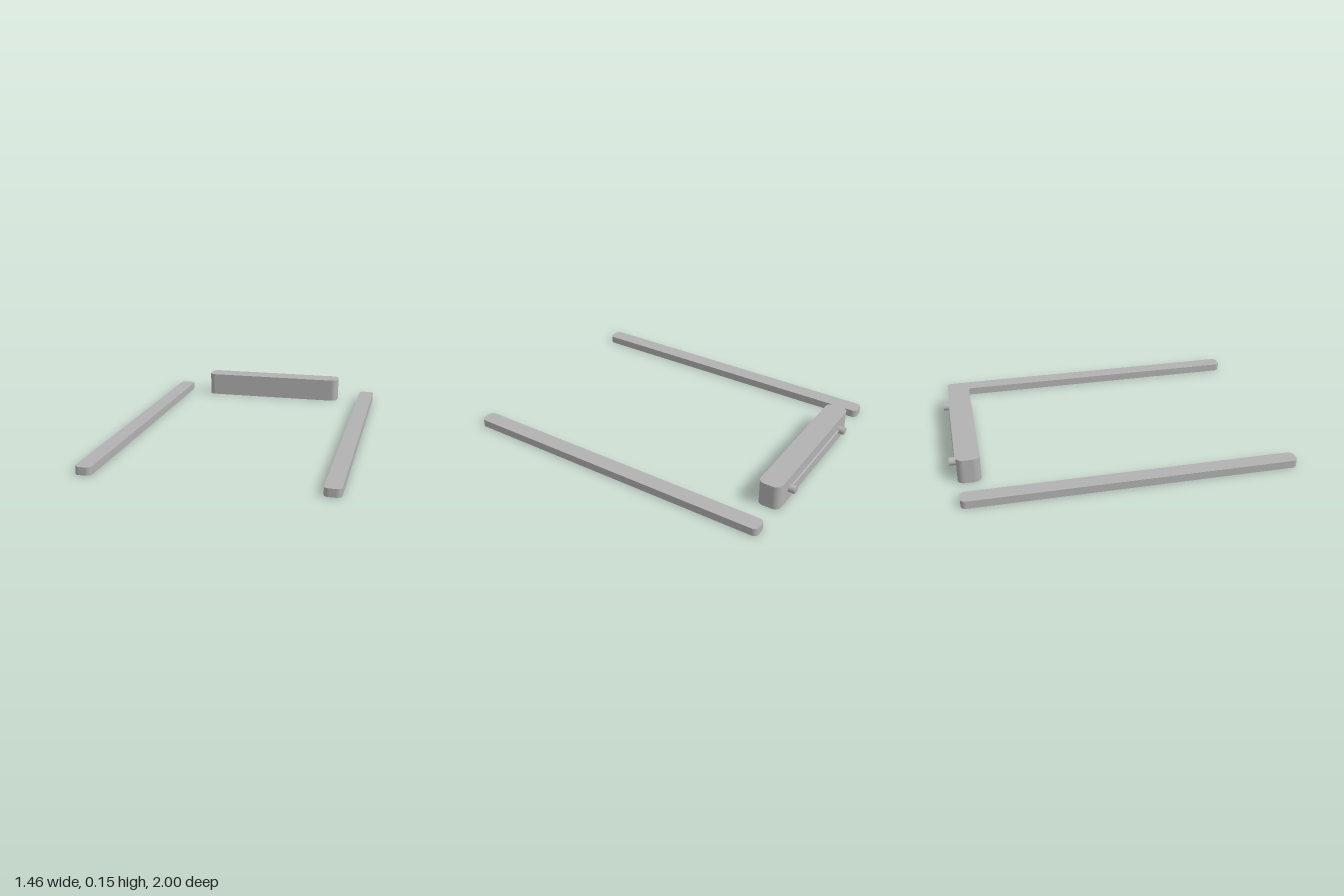
import * as THREE from 'three';

const grey = new THREE.MeshStandardMaterial({ color: 0xb2b2b2 });
grey.name = 'grey';

// Upright slab standing on y = 0 with rounded vertical corners
function roundedSlab(name, width, depth, height, r) {
  const x = width / 2, z = depth / 2;
  const s = new THREE.Shape();
  s.moveTo(-x + r, -z);
  s.lineTo(x - r, -z);
  s.absarc(x - r, -z + r, r, -Math.PI / 2, 0);
  s.lineTo(x, z - r);
  s.absarc(x - r, z - r, r, 0, Math.PI / 2);
  s.lineTo(-x + r, z);
  s.absarc(-x + r, z - r, r, Math.PI / 2, Math.PI);
  s.lineTo(-x, -z + r);
  s.absarc(-x + r, -z + r, r, Math.PI, Math.PI * 1.5);
  const geo = new THREE.ExtrudeGeometry(s, { depth: height, bevelEnabled: false, curveSegments: 8 });
  geo.rotateX(-Math.PI / 2);
  const mesh = new THREE.Mesh(geo, grey);
  mesh.name = name;
  return mesh;
}

export function createModel() {
  const model = new THREE.Group();
  model.name = 'railsAndBar';

  // Rear crossbar
  const bar = roundedSlab('crossbar', 0.95, 0.135, 0.15, 0.04);
  bar.position.z = -0.8925;
  model.add(bar);

  for (const [side, label] of [[1, 'left'], [-1, 'right']]) {
    // Long side rail
    const rail = roundedSlab(label + 'Rail', 0.096, 1.96, 0.047, 0.03);
    rail.position.set(side * 0.68, 0, 0.02);
    model.add(rail);

    // Peg on the back of the crossbar
    const peg = new THREE.Mesh(new THREE.CylinderGeometry(0.024, 0.024, 0.05, 24), grey);
    peg.name = label + 'Peg';
    peg.rotation.x = Math.PI / 2;
    peg.position.set(side * 0.343, 0.075, -0.975);
    model.add(peg);
  }

  // Thin rod joining the pegs
  const rod = new THREE.Mesh(new THREE.CylinderGeometry(0.008, 0.008, 0.68, 12), grey);
  rod.name = 'rod';
  rod.rotation.z = Math.PI / 2;
  rod.position.set(0, 0.075, -0.962);
  model.add(rod);

  return model;
}
